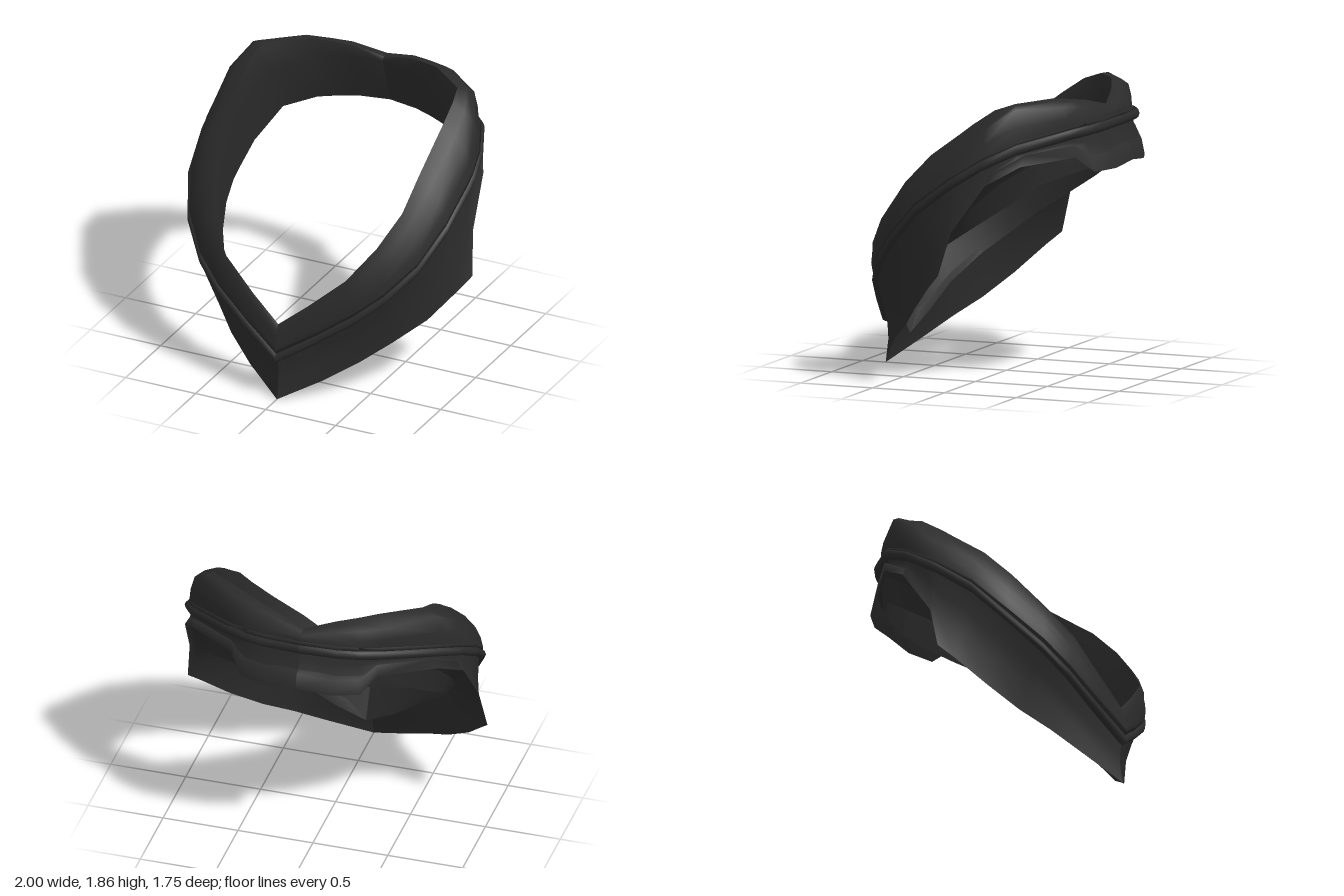
import * as THREE from 'three';
import { mergeGeometries } from 'three/addons/utils/BufferGeometryUtils.js';

// Guide curves of one half, from front centre round the side to back centre
const crest = [[0, .53, .82], [.2, .69, .78], [.43, .89, .72], [.58, 1.09, .575], [.68, 1.29, .41], [.705, 1.48, .22], [.715, 1.64, 0],
  [.72, 1.7, -.08], [.72, 1.8, -.23], [.69, 1.845, -.36], [.46, 1.86, -.53], [.33, 1.84, -.59], [.2, 1.82, -.64], [0, 1.76, -.69]];
const shoulder = [[0, .44, .855], [.22, .59, .8], [.46, .78, .735], [.64, .95, .62], [.79, 1.14, .44], [.86, 1.35, .24], [.88, 1.52, 0],
  [.88, 1.57, -.08], [.87, 1.7, -.23], [.79, 1.82, -.4], [.53, 1.815, -.62], [.38, 1.8, -.68], [.23, 1.79, -.72], [0, 1.745, -.76]];
const band = [[0, .3, .84], [.24, .45, .77], [.47, .61, .7], [.64, .75, .61], [.8, .93, .45], [.9, 1.15, .24], [.93, 1.33, 0],
  [.93, 1.38, -.08], [.91, 1.47, -.22], [.82, 1.57, -.42], [.52, 1.64, -.66], [.38, 1.655, -.73], [.25, 1.665, -.77], [0, 1.67, -.79]];
const innerWall = [[0, .36, .74], [.2, .5, .7], [.41, .68, .635], [.58, .87, .49], [.68, 1.06, .32], [.7, 1.25, .16], [.71, 1.45, -.02],
  [.71, 1.5, -.1], [.7, 1.59, -.2], [.62, 1.68, -.37], [.44, 1.72, -.53], [.32, 1.73, -.59], [.2, 1.74, -.63], [0, 1.735, -.67]];
const liningEdge = [[0, .2, .67], [.2, .31, .63], [.4, .48, .56], [.58, .65, .42], [.68, .79, .25], [.73, .91, .1], [.75, 1, -.04],
  [.745, 1.06, -.13], [.73, 1.17, -.3], [.64, 1.33, -.53], [.46, 1.38, -.66], [.33, 1.395, -.71], [.2, 1.405, -.75], [0, 1.41, -.78]];
const skirtEdge = [[0, 0, .84], [.26, .13, .7], [.46, .25, .57], [.62, .36, .43], [.8, .5, .29], [.94, .67, .13], [1, .75, .045],
  [.965, 1.03, -.03], [.93, 1.34, -.25], [.82, 1.46, -.45], [.49, 1.49, -.69], [.4, 1.39, -.79], [.22, 1.395, -.86], [0, 1.42, -.88]];

// Blend two curves, then push the result outward (horizontally) and upward
function between(a, b, t, out = 0, up = 0) {
  return a.map((p, i) => {
    const v = p.map((n, k) => n + (b[i][k] - n) * t);
    const len = Math.hypot(v[0], v[2]);
    return [v[0] * (1 + out / len), v[1] + up, v[2] * (1 + out / len)];
  });
}
const offset = (a, out, up) => between(a, a, 0, out, up);

// Skin a list of curves; one half per side, keeping a crease on the centre line
function loft(curves) {
  const halves = [1, -1].map((side) => {
    const n = curves[0].length;
    const pos = [];
    const index = [];
    curves.forEach((c) => c.forEach(([x, y, z]) => pos.push(side * x, y, z)));
    for (let j = 0; j < curves.length - 1; j++) {
      for (let i = 0; i < n - 1; i++) {
        const a = j * n + i, b = a + n, c = a + 1, d = b + 1;
        if (side > 0) index.push(a, b, c, c, b, d);
        else index.push(a, c, b, c, d, b);
      }
    }
    const g = new THREE.BufferGeometry();
    g.setAttribute('position', new THREE.Float32BufferAttribute(pos, 3));
    g.setIndex(index);
    g.computeVertexNormals();
    return g;
  });
  return mergeGeometries(halves);
}

export function createModel() {
  const model = new THREE.Group();
  model.name = 'neckCollar';
  const cloth = new THREE.MeshStandardMaterial({ color: 0x2b2b2b, side: THREE.DoubleSide });
  cloth.name = 'charcoal cloth';

  function part(name, curves) {
    const mesh = new THREE.Mesh(loft(curves), cloth);
    mesh.name = name;
    model.add(mesh);
  }

  // Rolled outer collar; its lip overhangs the piping at the front and fades to the back
  const lip = band.map(([x, y, z]) => {
    const grow = 1 + (.005 + .03 * z) / Math.hypot(x, z);
    return [x * grow, y + .05 + .01 * z, z * grow];
  });
  part('collarRoll', [
    crest,
    between(crest, shoulder, .5, .01, .012),
    shoulder,
    between(shoulder, lip, .55, .008),
    lip,
  ]);
  part('collarLip', [lip, offset(band, .012, .032), offset(band, -.03, .03)]);

  // Lining inside the neck
  part('lining', [liningEdge, innerWall, crest]);

  // Piping round the collar
  const piping = [];
  for (let k = 0; k <= 8; k++) {
    const a = Math.PI / 2 - (k / 8) * Math.PI * 2;
    piping.push(offset(band, Math.cos(a) * .03, Math.sin(a) * .036));
  }
  part('piping', piping);

  // Flared skirt below the piping
  const skirtTop = offset(band, -.015, -.01);
  part('skirt', [
    skirtTop,
    between(skirtTop, skirtEdge, .3, -.012),
    between(skirtTop, skirtEdge, .6, -.015),
    skirtEdge,
  ]);

  // Groove between the skirt and the back of the lining
  const grooveOuter = between(liningEdge, skirtEdge, .8, 0, .1);
  const grooveInner = between(liningEdge, skirtEdge, .25, 0, .12);
  part('skirtInside', [skirtEdge, grooveOuter, grooveInner]);
  part('liningBack', [grooveInner, liningEdge]);
  return model;
}
